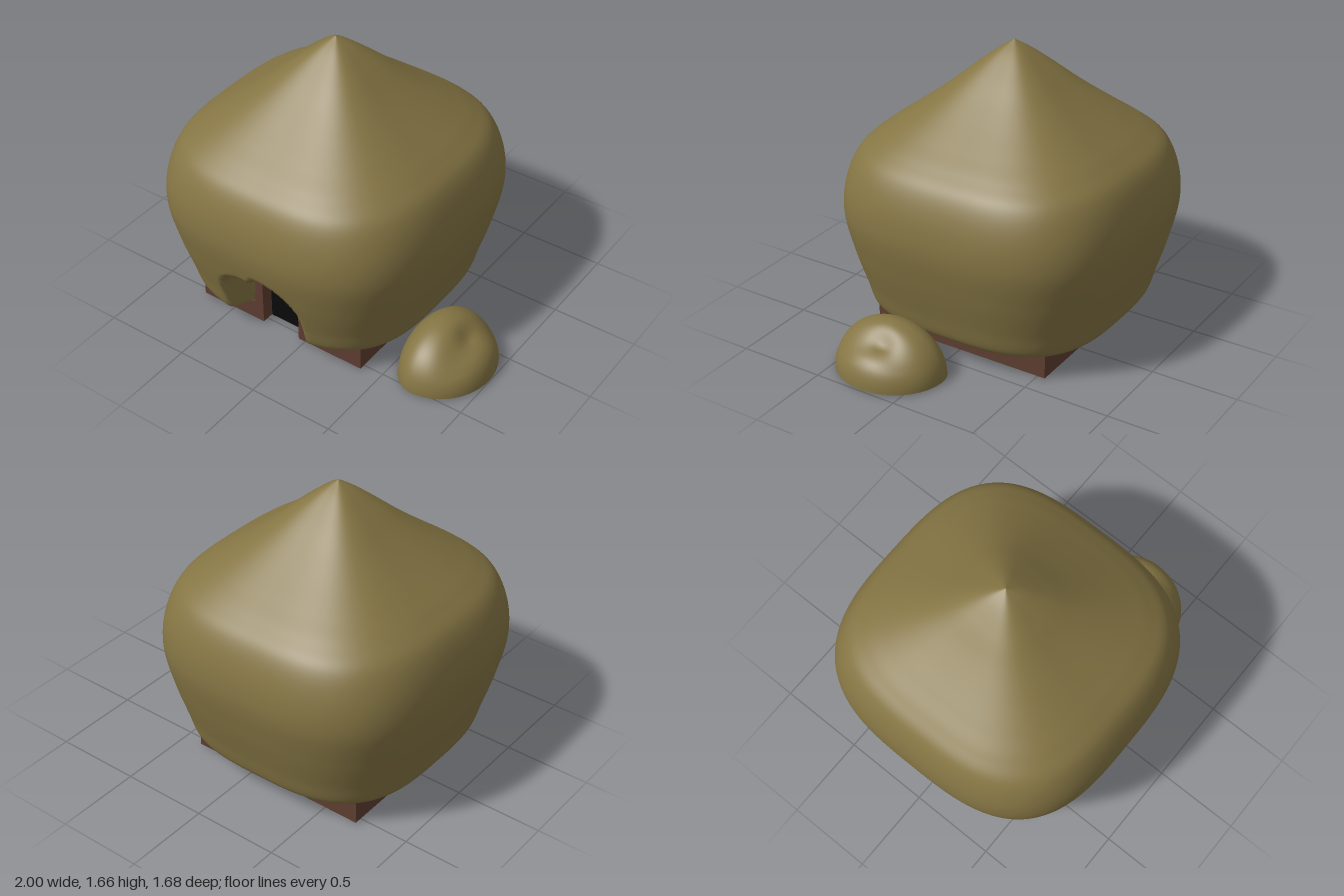
import * as THREE from 'three';

const hay = new THREE.MeshStandardMaterial({ color: 0x857544, side: THREE.DoubleSide });
const wood = new THREE.MeshStandardMaterial({ color: 0x5c3d30 });
const dark = new THREE.MeshStandardMaterial({ color: 0x0a0a0a });

const CX = -0.165; // centre of the hut
const DOOR = { x: -0.163, half: 0.172, top: 0.45, radius: 0.11 };

function part(parent, name, geometry, material, x = 0, y = 0, z = 0) {
  const mesh = new THREE.Mesh(geometry, material);
  mesh.name = name;
  mesh.position.set(x, y, z);
  parent.add(mesh);
  return mesh;
}

// Signed distance to the round-topped opening in the thatch
function openingDistance(x, y) {
  const qx = Math.abs(x - DOOR.x) - DOOR.half + DOOR.radius;
  const qy = y - DOOR.top + DOOR.radius;
  return Math.hypot(Math.max(qx, 0), Math.max(qy, 0)) + Math.min(Math.max(qx, qy), 0) - DOOR.radius;
}

// Pulls the thatch in to the front wall around the doorway
function dent(x, y, z) {
  if (z < 0) return z;
  const d = openingDistance(x, y);
  if (d < 0) return Math.min(z, Math.max(0.3, 0.545 + d * 10));
  const width = x < DOOR.x ? 0.075 : 0.13;
  if (z < 0.545) return z;
  return THREE.MathUtils.lerp(0.545, z, THREE.MathUtils.smoothstep(d, 0, width));
}

// Rounded-square sections stacked along a bulging profile
function thatchGeometry() {
  const profile = [
    [0.5, 0.142], [0.66, 0.14], [0.692, 0.16], [0.735, 0.3], [0.79, 0.5], [0.83, 0.72], [0.812, 0.9],
    [0.75, 1.05], [0.665, 1.13], [0.56, 1.21], [0.43, 1.31], [0.32, 1.4], [0.195, 1.51], [0.08, 1.605], [0.001, 1.658],
  ].map(([r, y]) => new THREE.Vector3(r, y, 0));
  const rows = new THREE.CatmullRomCurve3(profile, false, 'centripetal').getSpacedPoints(115);
  const around = 240, power = 3.1;
  const positions = [], index = [];
  rows.forEach((p, j) => {
    for (let i = 0; i < around; i++) {
      const a = (i / around) * Math.PI * 2;
      const c = Math.cos(a), s = Math.sin(a);
      const r = p.x / Math.pow(Math.abs(c) ** power + Math.abs(s) ** power, 1 / power);
      const x = CX + r * c;
      positions.push(x, p.y, dent(x, p.y, -0.01 + r * s * 1.012));
      if (j < rows.length - 1) {
        const n = (i + 1) % around, lo = j * around, hi = lo + around;
        index.push(lo + i, hi + i, lo + n, lo + n, hi + i, hi + n);
      }
    }
  });
  const g = new THREE.BufferGeometry();
  g.setAttribute('position', new THREE.Float32BufferAttribute(positions, 3));
  g.setIndex(index);
  g.computeVertexNormals();
  return g;
}

// Lopsided open dome with a sagging shoulder
function heapGeometry() {
  const g = new THREE.SphereGeometry(1, 56, 28, 0, Math.PI * 2, 0, Math.PI / 2);
  const p = g.attributes.position;
  const bump = (x, z, cx, cz, sx, sz) => Math.exp(-(((x - cx) / sx) ** 2) - ((z - cz) / sz) ** 2);
  for (let i = 0; i < p.count; i++) {
    const x = p.getX(i) * (p.getX(i) > 0 ? 0.3 : 0.2);
    const z = p.getZ(i) * 0.325;
    const h = p.getY(i);
    const sag = 0.045 * bump(x, z, 0.17, 0, 0.08, 0.25) + 0.025 * bump(x, z, 0.13, -0.03, 0.04, 0.07);
    p.setXYZ(i, x, h * 0.282 - sag * Math.min(1, h * 2), z);
  }
  g.computeVertexNormals();
  return g;
}

export function createModel() {
  const model = new THREE.Group();
  model.name = 'thatchedHut';

  part(model, 'thatch', thatchGeometry(), hay);

  // Wooden walls; the front one has a doorway
  const base = new THREE.Group();
  base.name = 'woodenBase';
  model.add(base);
  part(base, 'walls', new THREE.BoxGeometry(1.09, 0.6, 1.01), wood, CX, 0.307, -0.045);
  const wall = new THREE.Shape();
  [[-0.71, 0.007], [-0.285, 0.007], [-0.285, 0.355], [-0.04, 0.355], [-0.04, 0.007], [0.38, 0.007], [0.38, 0.607], [-0.71, 0.607]]
    .forEach(([x, y], i) => (i ? wall.lineTo(x, y) : wall.moveTo(x, y)));
  part(base, 'frontWall', new THREE.ExtrudeGeometry(wall, { depth: 0.08, bevelEnabled: false }), wood, 0, 0, 0.46);

  // Dark interior seen through the doorway and from beneath
  part(model, 'doorway', new THREE.BoxGeometry(0.245, 0.352, 0.01), dark, -0.1625, 0.179, 0.459);
  part(model, 'floor', new THREE.BoxGeometry(1.03, 0.008, 0.8), dark, CX, 0.004, 0.06);

  part(model, 'hayHeap', heapGeometry(), hay, 0.7, 0.008, 0.213);
  return model;
}
